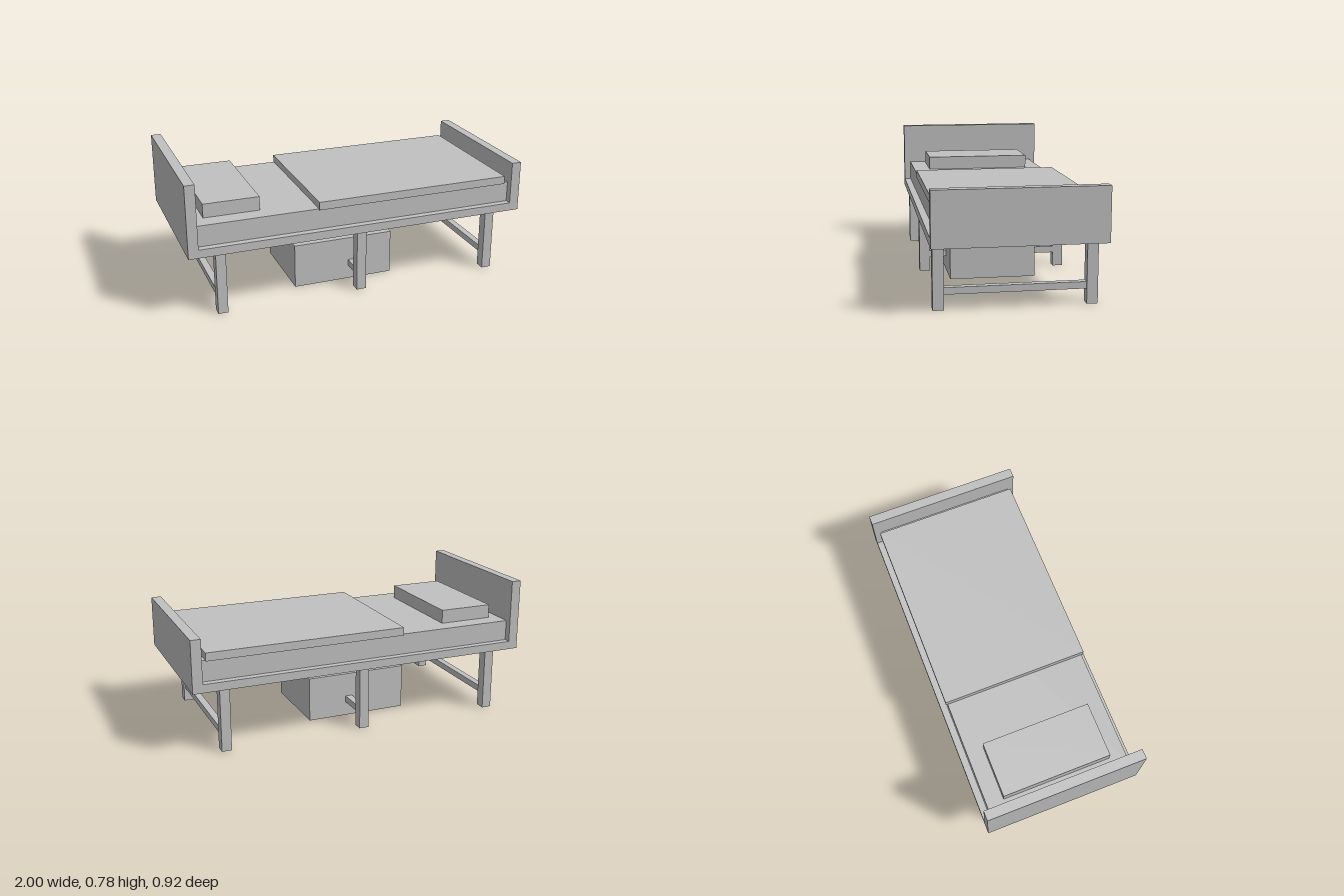
import * as THREE from 'three';

export function createModel() {
  const model = new THREE.Group();
  model.name = 'bed';
  const grey = new THREE.MeshStandardMaterial({ color: 0xc0c0c0 });
  grey.name = 'light grey';

  // Box given by its extents along each axis
  function block(name, [x0, x1], [y0, y1], [z0, z1]) {
    const mesh = new THREE.Mesh(new THREE.BoxGeometry(x1 - x0, y1 - y0, z1 - z0), grey);
    mesh.position.set((x0 + x1) / 2, (y0 + y1) / 2, (z0 + z1) / 2);
    mesh.name = name;
    model.add(mesh);
  }

  const under = 0.362; // underside of the bed frame
  const inner = 0.943; // inner faces of the end boards

  // Frame and end boards
  block('bedFrame', [-inner, inner], [under, 0.41], [-0.46, 0.46]);
  block('headboard', [-1, -inner], [under, 0.78], [-0.46, 0.46]);
  block('footboard', [inner, 1], [under, 0.66], [-0.46, 0.46]);

  // Bedding
  block('mattress', [-inner, inner], [0.41, 0.53], [-0.42, 0.42]);
  block('pillow', [-0.88, -0.56], [0.53, 0.61], [-0.32, 0.32]);
  block('blanket', [-0.25, 0.915], [0.525, 0.572], [-0.43, 0.43]);

  // Three pairs of legs, each joined by a crossbar
  for (const x of [-0.821, 0, 0.821]) {
    for (const z of [-0.41, 0.41]) {
      block('leg', [x - 0.028, x + 0.028], [0, under], [z - 0.03, z + 0.03]);
    }
    block('crossbar', [x - 0.02, x + 0.02], [0.082, 0.12], [-0.38, 0.38]);
  }

  // Storage box standing under the bed
  block('storageBox', [-0.35, 0.25], [0, 0.26], [-0.22, 0.28]);

  return model;
}
